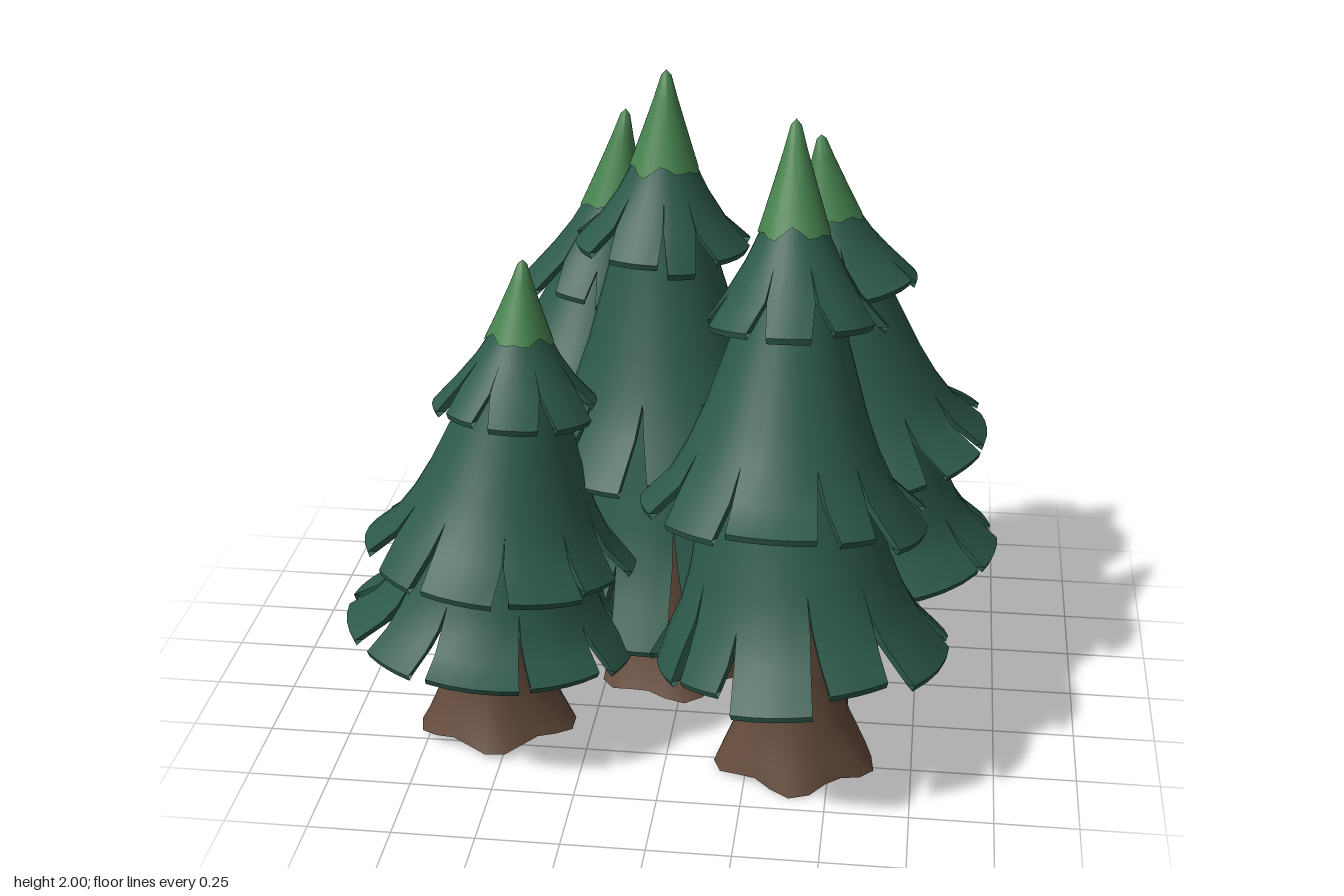
import * as THREE from 'three';
import { toCreasedNormals } from 'three/addons/utils/BufferGeometryUtils.js';

const needles = new THREE.MeshStandardMaterial({ color: 0x2c594a, side: THREE.DoubleSide });
needles.name = 'dark needle green';
const fresh = new THREE.MeshStandardMaterial({ color: 0x46824d, side: THREE.DoubleSide });
fresh.name = 'fresh tip green';
const bark = new THREE.MeshStandardMaterial({ color: 0x644b3c, side: THREE.DoubleSide });
bark.name = 'bark brown';

// Seeded random numbers
let seed = 7;
const rand = (lo, hi) => {
  seed = (seed * 16807) % 2147483647;
  return lo + (hi - lo) * (seed / 2147483647);
};

// Profiles: [t along the axis, radius as a share of the rim radius]
const UPPER = [[0.42, 0.28], [0.52, 0.36], [0.68, 0.53], [0.84, 0.75], [1, 1]];
const MIDDLE = [[0, 0.33], [0.2, 0.4], [0.55, 0.58], [0.72, 0.69], [0.86, 0.81], [1, 1]];
const LOWER = [[0, 0.5], [0.3, 0.6], [0.55, 0.68], [0.72, 0.76], [0.86, 0.86], [1, 1]];
const TIP = [[0.54, 0.41], [0.46, 0.35], [0.32, 0.25], [0.16, 0.14], [0.03, 0.06], [0, 0]];

// Maps (angle, radius, t) onto a leaning axis from top to bottom
function leaningAxis(top, bottom) {
  const dir = bottom.clone().sub(top).normalize();
  const q = new THREE.Quaternion().setFromUnitVectors(new THREE.Vector3(0, -1, 0), dir);
  return (a, r, t) => new THREE.Vector3(Math.cos(a) * r, 0, Math.sin(a) * r)
    .applyQuaternion(q)
    .add(top.clone().lerp(bottom, t));
}

// Skirt of branches with a rolled rim, divided into lobes by V-shaped notches
function skirt(name, top, bottom, R, profile, count, notchStart, notchGap) {
  const at = leaningAxis(top, bottom);
  const length = top.distanceTo(bottom);
  const pos = [];
  const quad = (a, b, c, d) => {
    for (const p of [a, b, c, a, c, d]) pos.push(p.x, p.y, p.z);
  };
  const phase = rand(0, 6.28);
  const step = (Math.PI * 2) / count;
  const edges = Array.from({ length: count }, (_, k) => ({
    a: phase + step * (k + rand(-0.18, 0.18)),
    gap: step * rand(...notchGap),
    start: rand(...notchStart),
  }));
  const COLS = 4;
  const last = profile.length - 1;
  for (let k = 0; k < count; k++) {
    const e0 = edges[k];
    const e1 = edges[(k + 1) % count];
    const end = e1.a + (k === count - 1 ? Math.PI * 2 : 0);
    const longer = rand(-0.04, 0.05);
    const wider = rand(0.95, 1.07);
    const open = (e, t) => e.gap * Math.max(0, (t - e.start) / (1 - e.start));
    const row = (r, t, spread) => {
      const a0 = e0.a + open(e0, spread);
      const a1 = end - open(e1, spread);
      return Array.from({ length: COLS + 1 }, (_, j) => at(a0 + ((a1 - a0) * j) / COLS, r, t));
    };
    const outer = profile.map(([t, s], i) =>
      row(R * s * (i === last ? wider : 1), t + (i === last ? longer : 0), t));
    const inner = profile.map(([t, s], i) =>
      row(R * s * (i === last ? wider : 1) - 0.03, t + (i === last ? longer : 0), t));
    const roll = row(R * wider - 0.008, 1 + longer + 0.018 / length, 1);
    for (let i = 0; i < last; i++) {
      for (let j = 0; j < COLS; j++) {
        quad(outer[i][j], outer[i][j + 1], outer[i + 1][j + 1], outer[i + 1][j]);
        quad(inner[i][j + 1], inner[i][j], inner[i + 1][j], inner[i + 1][j + 1]);
      }
      // Notch walls
      if (profile[i + 1][0] > notchStart[0]) {
        quad(inner[i][0], outer[i][0], outer[i + 1][0], inner[i + 1][0]);
        quad(outer[i][COLS], inner[i][COLS], inner[i + 1][COLS], outer[i + 1][COLS]);
      }
    }
    // Rolled rim
    for (let j = 0; j < COLS; j++) {
      quad(outer[last][j], outer[last][j + 1], roll[j + 1], roll[j]);
      quad(roll[j], roll[j + 1], inner[last][j + 1], inner[last][j]);
    }
  }
  const g = new THREE.BufferGeometry();
  g.setAttribute('position', new THREE.Float32BufferAttribute(pos, 3));
  const mesh = new THREE.Mesh(toCreasedNormals(g, 0.8), needles);
  mesh.name = name;
  return mesh;
}

// Pale pointed tip with a wavy lower edge
function treeTip(top, bottom, R) {
  const at = leaningAxis(top, bottom);
  const g = new THREE.LatheGeometry(TIP.map(([t, r]) => new THREE.Vector2(r, -t)), 28);
  const p = g.attributes.position;
  const phase = rand(0, 6.28);
  for (let i = 0; i < p.count; i++) {
    const a = Math.atan2(p.getZ(i), p.getX(i));
    const t = -p.getY(i);
    const wave = (0.02 * Math.sin(4 * a + phase) + 0.018 * Math.sin(7 * a)) * (t / 0.54) ** 3;
    const r = Math.hypot(p.getX(i), p.getZ(i)) + wave;
    const v = at(a, r * R, t + wave);
    p.setXYZ(i, v.x, v.y, v.z);
  }
  const mesh = new THREE.Mesh(toCreasedNormals(g, 0.8), fresh);
  mesh.name = 'treeTip';
  return mesh;
}

// Hollow trunk with a lobed, flared foot
function trunk([x, z], base) {
  const profile = [[0.23, base], [0.21, 0.06], [0.16, 0.18], [0.15, 0.35], [0.147, 0.8]];
  const g = new THREE.LatheGeometry(profile.map(([r, y]) => new THREE.Vector2(r, y)), 24);
  const p = g.attributes.position;
  const phase = rand(0, 6.28);
  for (let i = 0; i < p.count; i++) {
    const a = Math.atan2(p.getZ(i), p.getX(i));
    const foot = Math.max(0, 1 - p.getY(i) / 0.22);
    const lobe = Math.cos(5 * a + phase);
    const s = 1 + 0.09 * foot * lobe + 0.025 * Math.cos(3 * a + phase);
    const lift = 0.012 * foot * (1 - lobe);
    p.setXYZ(i, x + p.getX(i) * s, p.getY(i) + lift, z + p.getZ(i) * s);
  }
  const mesh = new THREE.Mesh(toCreasedNormals(g, 0.6), bark);
  mesh.name = 'trunk';
  return mesh;
}

// Each tree: tip, then rim centres and rim radii from top to bottom, then trunk
const TREES = [
  { name: 'centreTree', tip: [-0.07, 2, -0.11], upper: [-0.08, 1.46, -0.07, 0.26],
    middle: [-0.06, 0.84, -0.03, 0.41], lower: [-0.04, 0.33, 0, 0.44], foot: [-0.04, 0], base: 0.02 },
  { name: 'frontRightTree', tip: [-0.45, 1.52, 0.26], upper: [-0.47, 1.09, 0.31, 0.24],
    middle: [-0.53, 0.61, 0.36, 0.41], lower: [-0.55, 0.36, 0.36, 0.44], foot: [-0.55, 0.36], base: 0.02 },
  { name: 'frontLeftTree', tip: [0.34, 1.96, 0.2], upper: [0.35, 1.38, 0.33, 0.26],
    middle: [0.33, 0.84, 0.43, 0.41], lower: [0.39, 0.4, 0.48, 0.44], foot: [0.39, 0.45], base: 0 },
  { name: 'backLeftTree', tip: [0.38, 1.73, -0.38], upper: [0.43, 1.25, -0.38, 0.26],
    middle: [0.53, 0.66, -0.41, 0.42], lower: [0.54, 0.31, -0.4, 0.44], foot: [0.49, -0.37], base: 0.01 },
  { name: 'backRightTree', tip: [-0.27, 1.71, -0.64], upper: [-0.34, 1.12, -0.62, 0.26],
    middle: [-0.4, 0.7, -0.53, 0.42], lower: [-0.42, 0.33, -0.51, 0.44], foot: [-0.41, -0.4], base: 0.02 },
];

export function createModel() {
  seed = 7;
  const model = new THREE.Group();
  model.name = 'pineGrove';
  for (const t of TREES) {
    const [tip, upper, middle, lower] = [t.tip, t.upper, t.middle, t.lower]
      .map(([x, y, z]) => new THREE.Vector3(x, y, z));
    const middleTop = upper.clone().lerp(tip, 0.2);
    const lowerTop = middle.clone().lerp(middleTop, 0.25);
    const tree = new THREE.Group();
    tree.name = t.name;
    tree.add(
      trunk(t.foot, t.base),
      skirt('lowerBranches', lowerTop, lower, t.lower[3], LOWER, 10, [0.55, 0.8], [0.04, 0.16]),
      skirt('middleBranches', middleTop, middle, t.middle[3], MIDDLE, 10, [0.68, 0.84], [0.04, 0.16]),
      skirt('upperBranches', tip, upper, t.upper[3], UPPER, 8, [0.76, 0.86], [0.08, 0.22]),
      treeTip(tip, upper, t.upper[3]),
    );
    model.add(tree);
  }
  return model;
}
